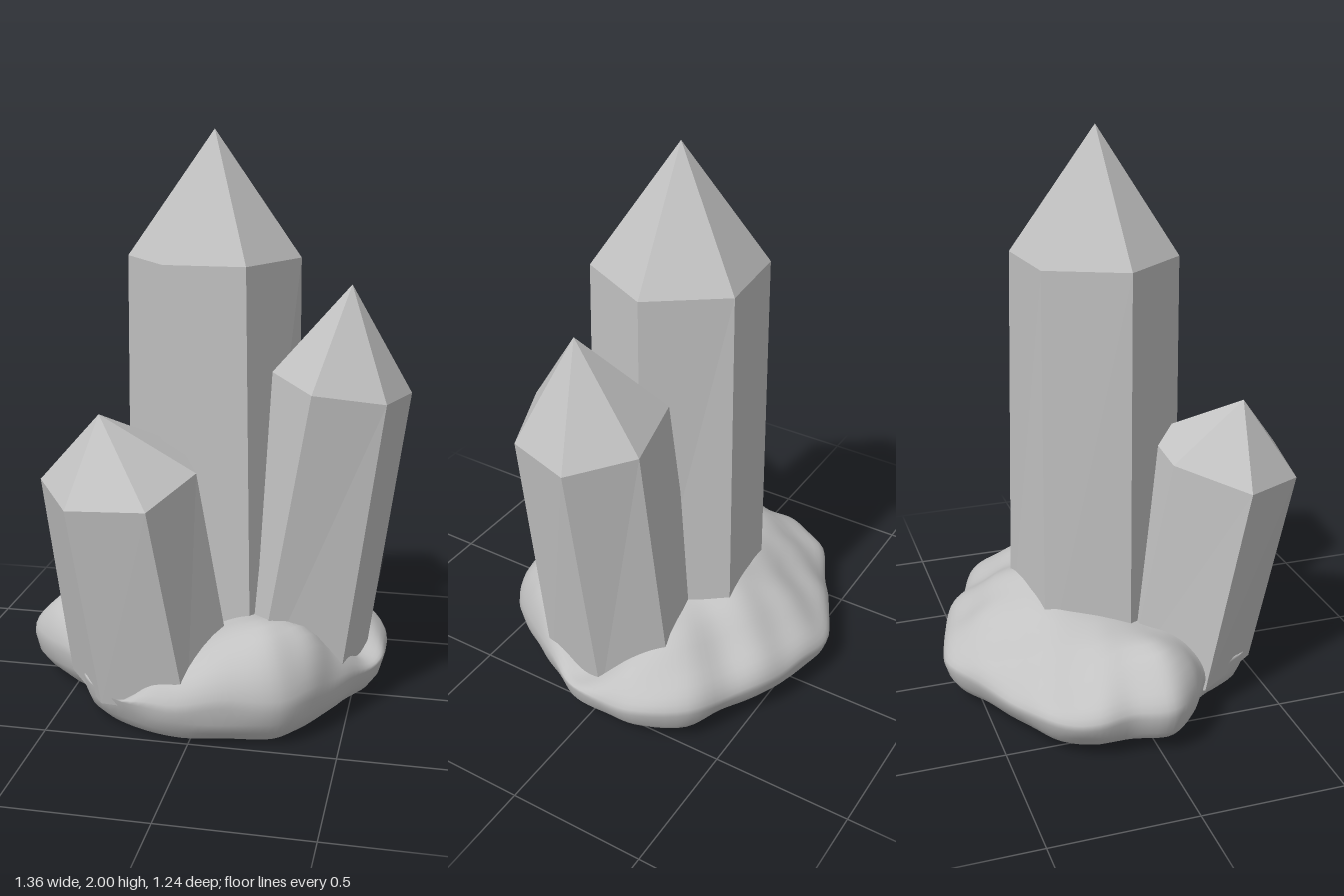
import * as THREE from 'three';

const stone = new THREE.MeshStandardMaterial({ color: 0xc2c2c2 });
stone.name = 'paleGrey';

// Skin a stack of closed rings (bottom to top, each running from +x towards +z)
function loft(rings, flat) {
  const n = rings[0].length;
  const index = [];
  for (let j = 0; j < rings.length - 1; j++) {
    for (let i = 0; i < n; i++) {
      const a = j * n + i, b = j * n + (i + 1) % n, c = a + n, d = b + n;
      index.push(a, c, b, b, c, d);
    }
  }
  let geo = new THREE.BufferGeometry();
  geo.setAttribute('position', new THREE.Float32BufferAttribute(rings.flat(2), 3));
  geo.setIndex(index);
  if (flat) geo = geo.toNonIndexed();
  geo.computeVertexNormals();
  return geo;
}

// Six-sided crystal: root corners [x, z], shoulder corners [x, y, z], apex
function crystal(name, rootY, root, shoulder, apex) {
  const foot = root.map(([x, z]) => [x, rootY, z]);
  const mesh = new THREE.Mesh(loft([foot, shoulder, shoulder.map(() => apex)], true), stone);
  mesh.name = name;
  return mesh;
}

// Widest outline of the rock, [x, z]
const outline = [
  [0.61, -0.08], [0.59, 0.06], [0.52, 0.18], [0.46, 0.29], [0.39, 0.40], [0.31, 0.49],
  [0.15, 0.52], [-0.03, 0.55], [-0.2, 0.51], [-0.36, 0.41], [-0.47, 0.23], [-0.6, 0.14],
  [-0.68, 0.03], [-0.65, -0.1], [-0.66, -0.22], [-0.6, -0.35], [-0.45, -0.45], [-0.28, -0.54],
  [-0.1, -0.62], [0.05, -0.59], [0.2, -0.55], [0.34, -0.47], [0.5, -0.38], [0.6, -0.21],
];

// Mounds and hollows on top of the rock: x, z, height, radius
const bumps = [
  [0.24, 0.33, 0.11, 0.17], [0.42, 0.3, 0.06, 0.1], [-0.52, 0.0, 0.06, 0.16],
  [0.05, -0.25, 0.12, 0.28], [-0.3, 0.44, -0.2, 0.15], [0.56, 0.04, -0.12, 0.13],
  [-0.1, 0.46, 0.05, 0.06], [-0.35, -0.25, 0.03, 0.15], [0.4, -0.27, 0.04, 0.14],
];

const lumps = (x, y, z) =>
  Math.sin(9 * x + 4 * z + 1) * Math.sin(8 * z - 5 * y + 2) * 0.6 +
  Math.sin(19 * x - 7 * z) * Math.sin(17 * z + 12 * y + 6 * x) * 0.4;

function rockGeometry() {
  const curve = new THREE.CatmullRomCurve3(
    outline.map(([x, z]) => new THREE.Vector3(x, 0, z)), true, 'centripetal');
  const rim = curve.getPoints(120).slice(0, -1);
  const cz = -0.03;
  const at = (p, s) => [p.x * s, cz + (p.z - cz) * s];
  const rings = [];

  // Flat underside and undercut side
  for (const [s, y] of [[0, 0], [0.5, 0], [0.79, 0], [0.84, 0.012], [0.92, 0.05], [0.97, 0.09]]) {
    rings.push(rim.map((p) => {
      const w = y > 0.02 ? 0.025 * lumps(p.x, y, p.z) : 0;
      const front = THREE.MathUtils.smoothstep(p.z, 0, 0.4) * (s > 0.7 ? 0.05 * (1 - y / 0.1) : 0);
      const [x, z] = at(p, s + front + w);
      return [x, y, z];
    }));
  }
  // Rounded shoulder running into the lumpy top
  for (const s of [1, 0.995, 0.98, 0.955, 0.92, 0.87, 0.81, 0.74, 0.66, 0.58, 0.49, 0.4, 0.3, 0.15, 0]) {
    rings.push(rim.map((p) => {
      const [x, z] = at(p, s);
      let h = 0.3;
      for (const [bx, bz, bh, r] of bumps) {
        h += bh * Math.exp(-((x - bx) ** 2 + (z - bz) ** 2) / (r * r));
      }
      const k = THREE.MathUtils.lerp(2.4, 6, THREE.MathUtils.smoothstep(z, -0.4, 0.3));
      const y = 0.14 + (h - 0.14) * Math.sqrt(1 - s ** k);
      const l = lumps(x, y, z);
      const [wx, wz] = at(p, s * (1 + 0.018 * l * s));
      return [wx, y + 0.022 * l, wz];
    }));
  }
  return loft(rings, false);
}

export function createModel() {
  const group = new THREE.Group();
  group.name = 'crystalCluster';

  const rock = new THREE.Mesh(rockGeometry(), stone);
  rock.name = 'rockBase';
  group.add(rock);

  group.add(crystal('tallCrystal', 0.1,
    [[0.292, -0.055], [0.165, 0.235], [-0.14, 0.235], [-0.325, 0], [-0.21, -0.28], [0.115, -0.325]],
    [[0.283, 1.57, -0.055], [0.14, 1.57, 0.225], [-0.14, 1.57, 0.225], [-0.315, 1.57, 0],
      [-0.195, 1.57, -0.27], [0.1, 1.57, -0.3]],
    [-0.015, 2, -0.03]));

  group.add(crystal('mediumCrystal', 0.1,
    [[0.535, -0.04], [0.47, 0.22], [0.19, 0.3], [0.06, 0.1], [0.11, -0.2], [0.38, -0.24]],
    [[0.675, 1.122, -0.02], [0.607, 1.13, 0.213], [0.37, 1.17, 0.3], [0.21, 1.2, 0.1],
      [0.25, 1.2, -0.15], [0.507, 1.16, -0.2]],
    [0.47, 1.5, 0.06]));

  group.add(crystal('smallCrystal', 0.1,
    [[0.115, 0.25], [-0.005, 0.49], [-0.31, 0.46], [-0.485, 0.22], [-0.3, 0], [0, 0]],
    [[0.005, 0.91, 0.375], [-0.105, 0.845, 0.62], [-0.385, 0.82, 0.578], [-0.54, 0.85, 0.345],
      [-0.37, 0.915, 0.13], [-0.11, 0.94, 0.13]],
    [-0.315, 1.1, 0.4]));

  return group;
}
